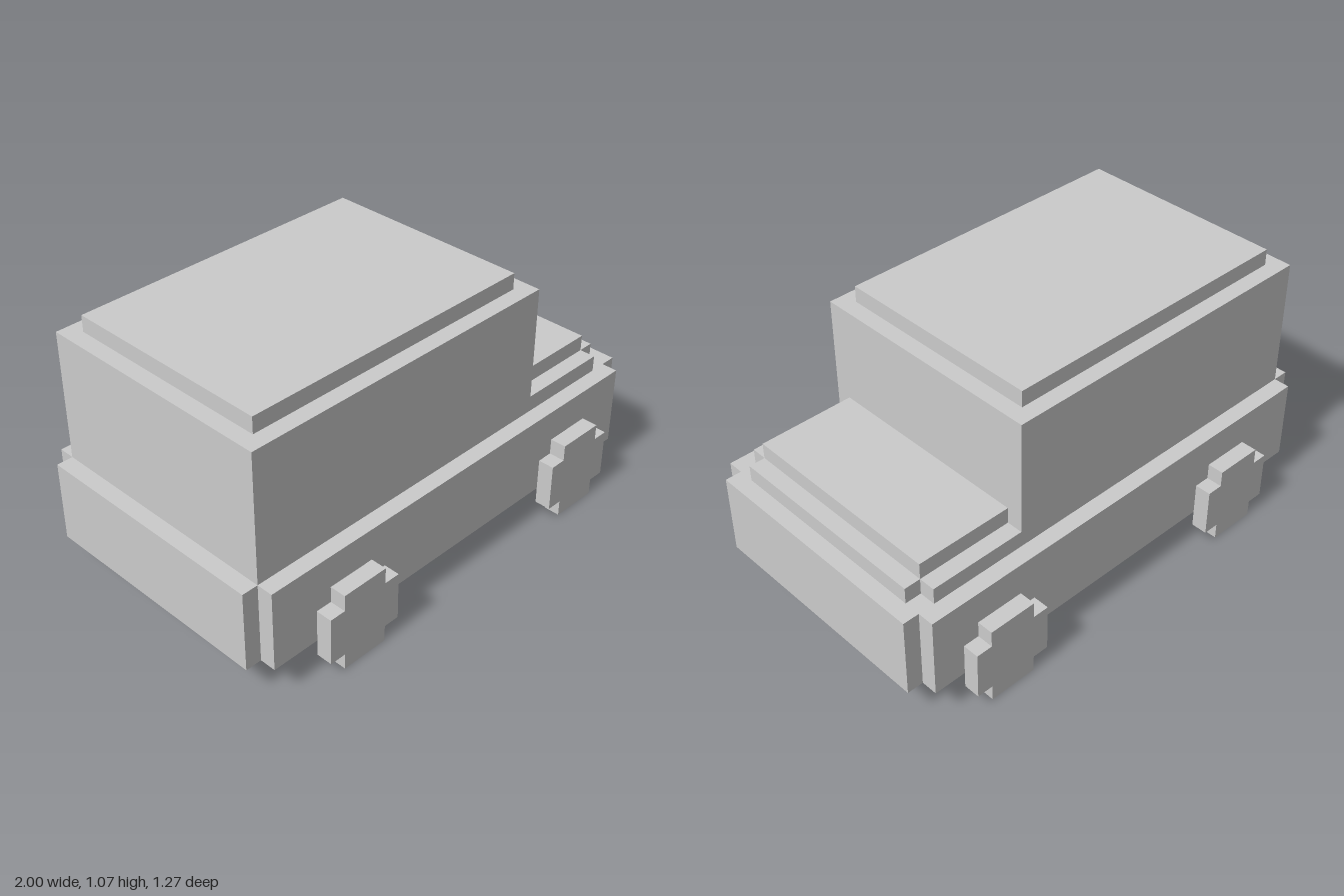
import * as THREE from 'three';

const U = 1 / 15; // grid unit: every size is a whole or half number of these
const material = new THREE.MeshStandardMaterial({ color: 0xcccccc, flatShading: true });

// Rectangle outline with a square notch of one unit cut from each chosen corner.
function notchedShape(x0, x1, y0, y1, notchLeft = true) {
  const n = notchLeft ? 1 : 0;
  const pts = [[x0 + n, y0], [x1 - 1, y0], [x1 - 1, y0 + 1], [x1, y0 + 1],
    [x1, y1 - 1], [x1 - 1, y1 - 1], [x1 - 1, y1], [x0 + n, y1]];
  if (notchLeft) pts.push([x0 + 1, y1 - 1], [x0, y1 - 1], [x0, y0 + 1], [x0 + 1, y0 + 1]);
  return new THREE.Shape(pts.map(([x, y]) => new THREE.Vector2(x * U, y * U)));
}

function extrude(shape, depth) {
  return new THREE.ExtrudeGeometry(shape, { depth: depth * U, bevelEnabled: false });
}

export function createModel() {
  const model = new THREE.Group();
  model.name = 'van';

  const add = (name, geometry) => {
    const mesh = new THREE.Mesh(geometry, material);
    mesh.name = name;
    model.add(mesh);
    return mesh;
  };

  // Horizontal slab from a plan outline, between two heights.
  const addSlab = (name, shape, y0, y1) => {
    const geometry = extrude(shape, y1 - y0).rotateX(-Math.PI / 2);
    add(name, geometry).position.y = y0 * U;
  };

  // Plain box, centred across the width.
  const addBox = (name, x0, x1, y0, y1, width) => {
    const geometry = new THREE.BoxGeometry((x1 - x0) * U, (y1 - y0) * U, width * U);
    add(name, geometry).position.set((x0 + x1) / 2 * U, (y0 + y1) / 2 * U, 0);
  };

  // Lower body with stepped corners
  addSlab('lowerBody', notchedShape(-15, 15, -8.5, 8.5), 2, 7);

  // Cabin and roof panel
  addBox('cabin', -14, 7, 7, 15, 15);
  addBox('roof', -13, 6, 15, 16, 13);

  // Bonnet in two steps
  addSlab('bonnetBase', notchedShape(7, 14, -7.5, 7.5, false), 7, 8);
  addBox('bonnetTop', 7, 13, 8, 9, 13);

  // Stepped wheels, one at each corner
  for (const [end, x] of [['rear', -8.5], ['front', 9.5]]) {
    for (const [side, z] of [['Right', 8.5], ['Left', -9.5]]) {
      const wheel = add(`${end}${side}Wheel`, extrude(notchedShape(-2.5, 2.5, 0, 5), 1));
      wheel.position.set(x * U, 0, z * U);
    }
  }

  return model;
}
